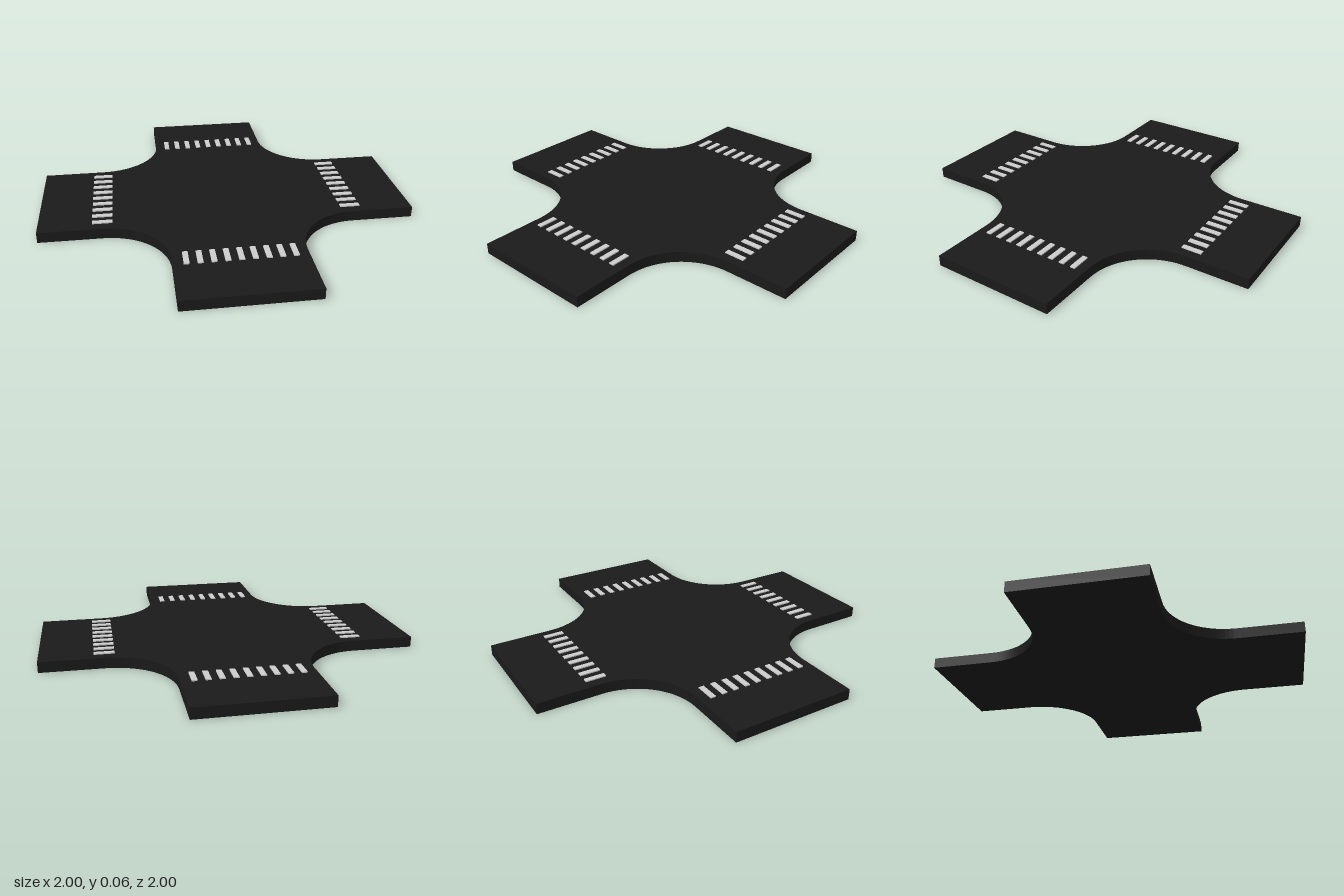
import * as THREE from 'three';

const HALF = 1 / 3;      // half the road width
const RADIUS = 1 / 3;    // rounded inner corners
const THICK = 0.057;     // slab thickness
const STRIPES = 9;

export function createModel() {
  const model = new THREE.Group();
  model.name = 'crossroads';
  const asphalt = new THREE.MeshStandardMaterial({ color: 0x1a1a1a });
  const paint = new THREE.MeshStandardMaterial({ color: 0xcccccc });

  // Cross-shaped slab: each quarter is one arm end and one concave corner
  const outline = new THREE.Shape();
  const c = HALF + RADIUS;
  const points = [];
  for (let q = 0; q < 4; q++) {
    const turn = new THREE.Vector2();
    const quarter = [new THREE.Vector2(1, -HALF), new THREE.Vector2(1, HALF)];
    for (let i = 0; i <= 24; i++) {
      const a = -Math.PI / 2 - (i / 24) * (Math.PI / 2);
      quarter.push(new THREE.Vector2(c + RADIUS * Math.cos(a), c + RADIUS * Math.sin(a)));
    }
    quarter.forEach((p) => points.push(p.rotateAround(turn, q * Math.PI / 2)));
  }
  outline.setFromPoints(points);
  const slabGeometry = new THREE.ExtrudeGeometry(outline, { depth: THICK, bevelEnabled: false });
  slabGeometry.rotateX(-Math.PI / 2);
  const slab = new THREE.Mesh(slabGeometry, asphalt);
  slab.name = 'roadSlab';
  model.add(slab);

  // One zebra crossing per arm, slightly raised above the road
  const stripeGeometry = new THREE.BoxGeometry(0.107, 0.012, 0.028);
  for (let q = 0; q < 4; q++) {
    const crossing = new THREE.Group();
    crossing.name = 'zebraCrossing' + (q + 1);
    for (let i = 0; i < STRIPES; i++) {
      const stripe = new THREE.Mesh(stripeGeometry, paint);
      stripe.name = 'stripe';
      stripe.position.set(0.667, THICK, (i - (STRIPES - 1) / 2) * 0.0667);
      crossing.add(stripe);
    }
    crossing.rotation.y = q * Math.PI / 2;
    model.add(crossing);
  }
  return model;
}
